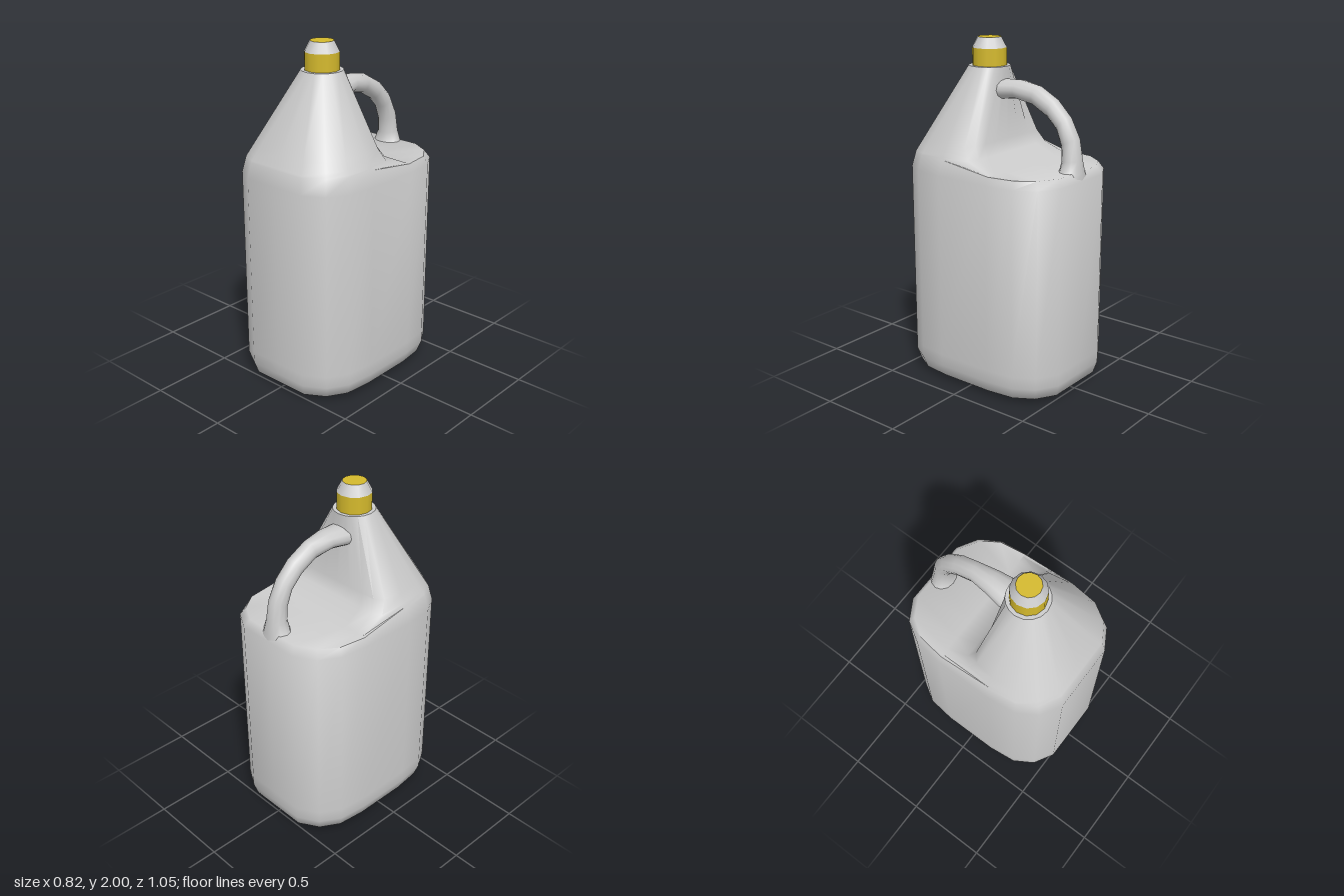
import * as THREE from 'three';
import { toCreasedNormals } from 'three/addons/utils/BufferGeometryUtils.js';

const grey = new THREE.MeshStandardMaterial({ color: 0xcccccc });
const yellow = new THREE.MeshStandardMaterial({ color: 0xd4b92c });

// Skin a stack of closed loops (counter-clockwise seen from above) and cap both ends
function loft(loops, crease) {
  const n = loops[0].length, last = loops.length - 1;
  const pos = loops.flat(2), index = [];
  for (let i = 0; i < last; i++) {
    for (let j = 0; j < n; j++) {
      const a = i * n + j, b = i * n + (j + 1) % n;
      index.push(a, b, b + n, a, b + n, a + n);
    }
  }
  for (const [k, flip] of [[0, true], [last, false]]) {
    const centre = pos.length / 3;
    for (let c = 0; c < 3; c++) pos.push(loops[k].reduce((s, p) => s + p[c], 0) / n);
    for (let j = 0; j < n; j++) {
      const a = k * n + j, b = k * n + (j + 1) % n;
      index.push(centre, flip ? b : a, flip ? a : b);
    }
  }
  const g = new THREE.BufferGeometry();
  g.setAttribute('position', new THREE.Float32BufferAttribute(pos, 3));
  g.setIndex(index);
  return toCreasedNormals(g, crease);
}

// Mirror a half loop that runs from the front middle to the back middle
const mirror = half => [...half, ...half.slice(1, -1).reverse().map(([x, y, z]) => [-x, y, z])];

function bodyGeometry() {
  const outline = [[0, .525], [.2, .525], [.32, .455], [.39, .34], [.41, .17],
    [.41, -.17], [.39, -.34], [.32, -.455], [.2, -.525], [0, -.525]];
  const level = (y, sx, sz) => outline.map(([x, z]) => [x * sx, y, z * sz]);

  // Rounded shoulder, dropping to the shelf at the back
  const shoulder = [[0, 1.35, .505], [.19, 1.35, .505], [.305, 1.35, .435], [.37, 1.35, .33], [.388, 1.35, .16],
    [.388, 1.305, -.17], [.365, 1.305, -.33], [.295, 1.305, -.43], [.18, 1.305, -.495], [0, 1.305, -.495]];

  // Round top of the neck
  const neck = [0, 22, 44, 66, 88, 108, 126, 144, 162, 180].map(d => {
    const a = d * Math.PI / 180;
    return [.12 * Math.sin(a), 1.84, .13 + .12 * Math.cos(a)];
  });

  // Cone at the front, shelf and filleted wall at the back
  const rise = (t, back) => [
    ...shoulder.slice(0, 5).map((p, i) => p.map((v, c) => v + (neck[i][c] - v) * t)), ...back];
  const shelf = rise(.02, [.37, .33, .24, .12, 0].map(x => [x, 1.305, -.17]));
  const fillet = rise(.06, [[.355, 1.36, 0], ...[.31, .22, .11, 0].map(x => [x, 1.365, -.04])]);
  const wall = rise(.16, [[.33, 1.43, .04], ...[.285, .2, .1, 0].map(x => [x, 1.43, 0])]);

  return loft([level(0, .76, .82), level(.03, .94, .96), level(.1, 1, 1), level(.17, 1, 1),
    level(1.26, 1, 1), shoulder, shelf, fillet, wall, neck].map(mirror), 1);
}

function handleGeometry() {
  // Sections from the base up and forward: outer z, y, inner z, y, half width
  const sections = [
    [-.524, 1.24, -.36, 1.27, .14], [-.52, 1.3, -.385, 1.3, .085], [-.511, 1.37, -.395, 1.36, .06],
    [-.49, 1.49, -.39, 1.44, .055], [-.43, 1.6, -.36, 1.525, .055], [-.34, 1.69, -.295, 1.59, .055],
    [-.22, 1.755, -.195, 1.645, .055], [-.1, 1.775, -.08, 1.668, .073],
    [0, 1.772, 0, 1.658, .088], [.06, 1.77, .06, 1.65, .09]];
  const sides = 12;
  return loft(sections.map(([oz, oy, iz, iy, w]) => Array.from({ length: sides }, (_, k) => {
    const a = k / sides * Math.PI * 2, c = Math.cos(a) / 2;
    return [w * Math.sin(a), (oy + iy) / 2 + c * (iy - oy), (oz + iz) / 2 + c * (iz - oz)];
  })), 1);
}

export function createModel() {
  const model = new THREE.Group();
  const add = (name, geometry, material, y = 0, z = 0) => {
    const mesh = new THREE.Mesh(geometry, material);
    mesh.name = name;
    mesh.position.set(0, y, z);
    model.add(mesh);
    return mesh;
  };

  add('body', bodyGeometry(), grey);
  add('handle', handleGeometry(), grey);

  // Screw cap: coloured band, grey taper, coloured top disc
  add('capBand', new THREE.CylinderGeometry(.1, .1, .1, 12), yellow, 1.89, .13);
  add('capTaper', new THREE.CylinderGeometry(.068, .1, .06, 12, 1, true), grey, 1.97, .13);
  add('capTop', new THREE.CircleGeometry(.068, 12), yellow, 2, .13).rotation.x = -Math.PI / 2;

  return model;
}
